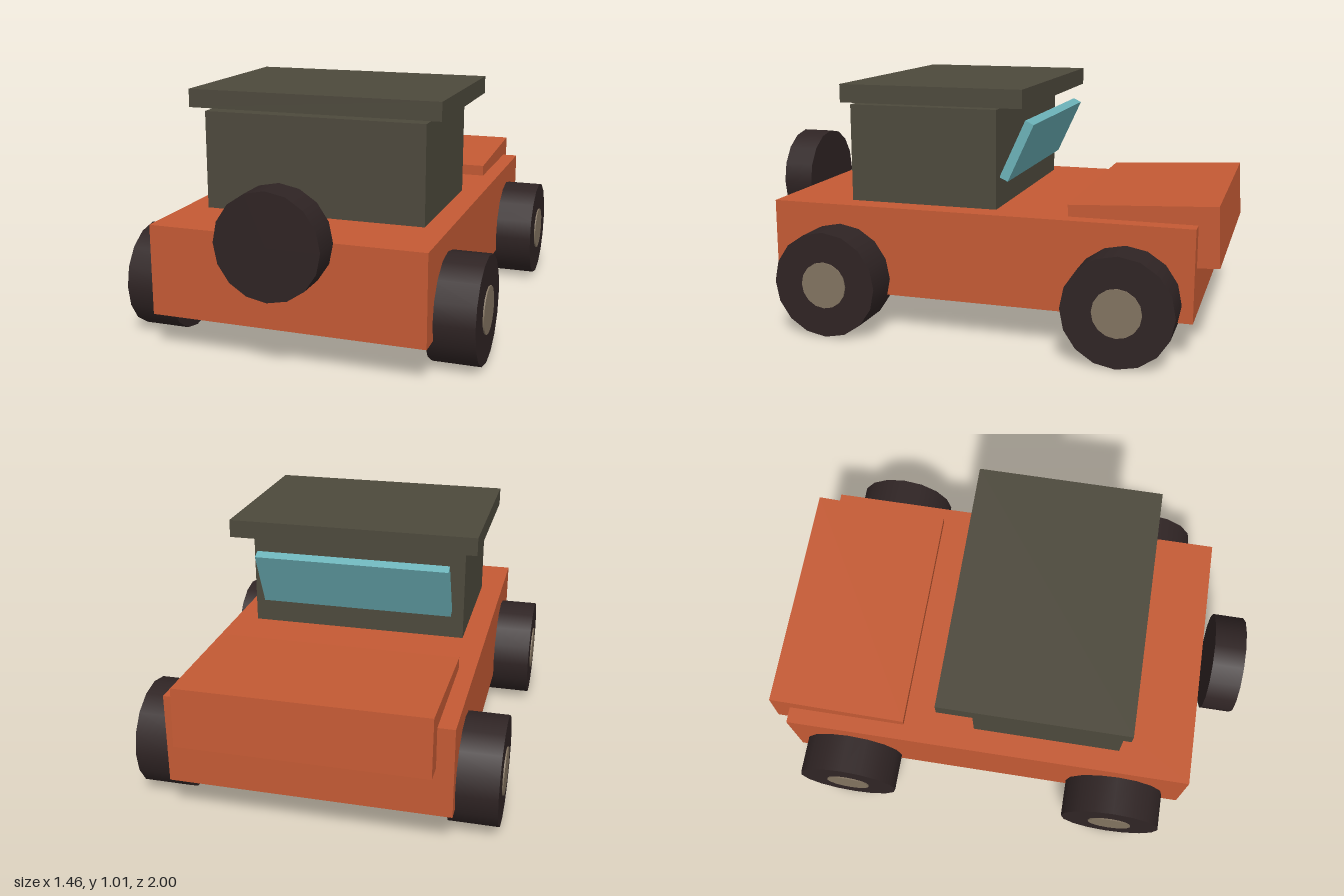
import * as THREE from 'three';

const paint = (name, color) => {
  const m = new THREE.MeshStandardMaterial({ color });
  m.name = name;
  return m;
};

export function createModel() {
  const orange = paint('orange paint', 0xc45a34);
  const olive = paint('dark olive', 0x4d493c);
  const rubber = paint('dark rubber', 0x2f2424);
  const hubTan = paint('hub tan', 0x827360);
  const glass = paint('teal glass', 0x6cb2b8);

  const car = new THREE.Group();
  car.name = 'offRoadCar';

  const add = (parent, name, geometry, material, x, y, z) => {
    const mesh = new THREE.Mesh(geometry, material);
    mesh.name = name;
    mesh.position.set(x, y, z);
    parent.add(mesh);
    return mesh;
  };
  const box = (name, material, w, h, d, y, z, tilt = 0) => {
    const mesh = add(car, name, new THREE.BoxGeometry(w, h, d), material, 0, y, z);
    mesh.rotation.x = tilt;
  };

  // Body, tilted hood, cabin, floating roof and leaning windshield
  box('body', orange, 1.125, 0.37, 1.76, 0.335, -0.033);
  box('hood', orange, 0.99, 0.24, 0.585, 0.462, -0.702, 0.05);
  box('cabin', olive, 0.93, 0.405, 0.635, 0.7225, 0.217);
  box('roof', olive, 1.056, 0.075, 0.775, 0.9775, 0.162);
  box('windshield', glass, 0.83, 0.26, 0.039, 0.754, -0.17, -0.43);

  // Four wheels with hubs standing slightly proud of the tyres
  const tyre = new THREE.CylinderGeometry(0.219, 0.219, 0.195, 16).rotateZ(Math.PI / 2);
  const hub = new THREE.CylinderGeometry(0.096, 0.096, 0.206, 16).rotateZ(Math.PI / 2);
  for (const side of [-1, 1]) {
    for (const z of [-0.65, 0.55]) {
      const wheel = new THREE.Group();
      wheel.name = `${side > 0 ? 'left' : 'right'}${z > 0 ? 'Front' : 'Back'}Wheel`;
      wheel.position.set(side * 0.627, 0.219, z);
      add(wheel, 'tyre', tyre, rubber, 0, 0, 0);
      add(wheel, 'hub', hub, hubTan, 0, 0, 0);
      car.add(wheel);
    }
  }

  // Spare wheel
  const spare = new THREE.CylinderGeometry(0.21, 0.21, 0.132, 16).rotateX(Math.PI / 2);
  add(car, 'spareWheel', spare, rubber, 0, 0.527, 0.934);

  return car;
}
